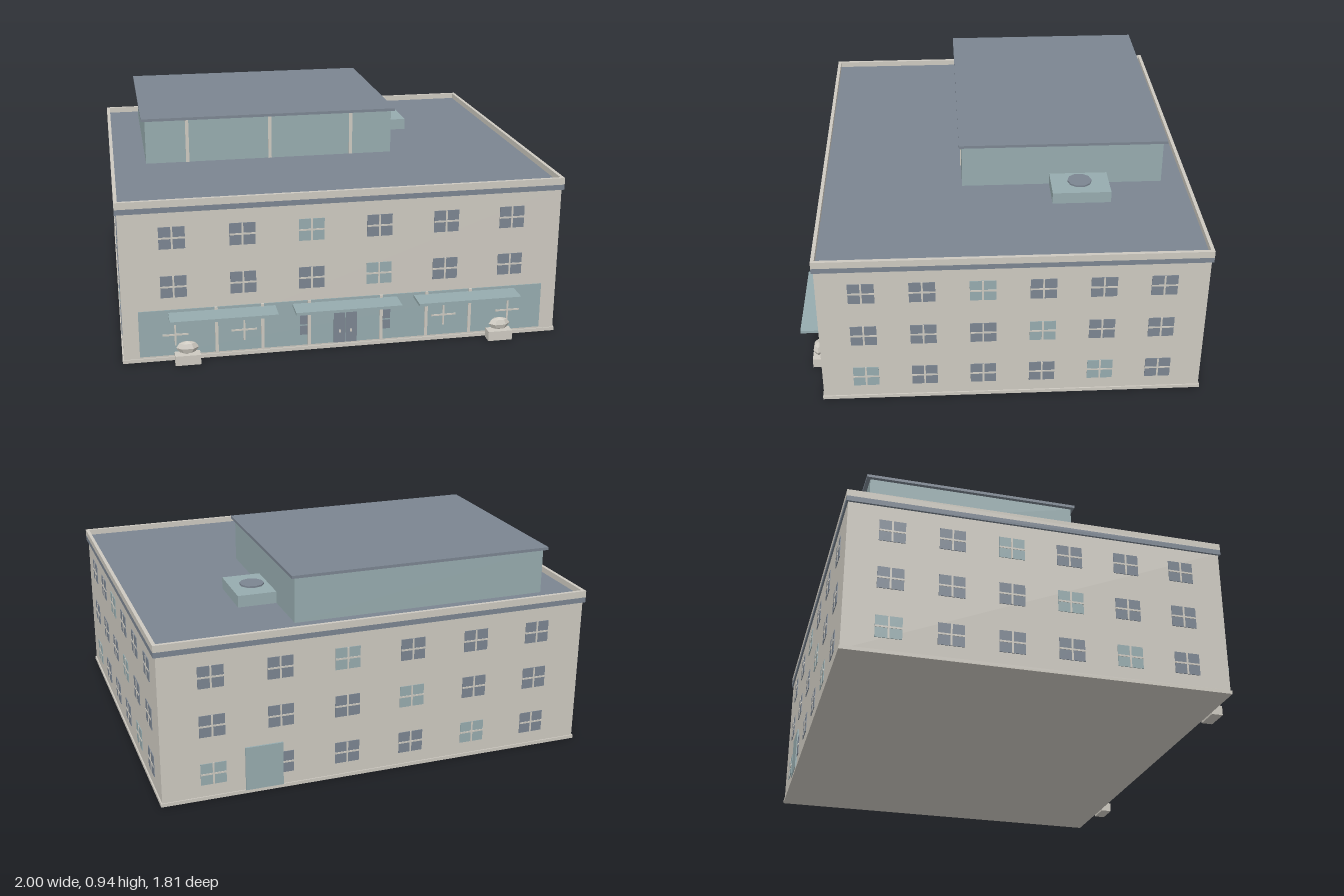
import * as THREE from 'three';

const mat = (name, color) => {
  const m = new THREE.MeshStandardMaterial({ color });
  m.name = name;
  return m;
};

export function createModel() {
  const model = new THREE.Group();
  model.name = 'officeBuilding';
  const stone = mat('stone', 0xcdc9c0);
  const slate = mat('slate', 0x7b8591);
  const glass = mat('glass', 0x96abae);

  const add = (parent, name, geo, material, x = 0, y = 0, z = 0) => {
    const m = new THREE.Mesh(geo, material);
    m.name = name;
    m.position.set(x, y, z);
    parent.add(m);
    return m;
  };
  // box given by its minimum and maximum corners
  const box = (parent, name, material, x0, x1, y0, y1, z0, z1) =>
    add(parent, name, new THREE.BoxGeometry(x1 - x0, y1 - y0, z1 - z0), material,
      (x0 + x1) / 2, (y0 + y1) / 2, (z0 + z1) / 2);

  const HX = 0.99, HZ = 0.847, CZ = -0.05; // half sizes and depth centre of the body

  // main block, plinth and cornice
  box(model, 'body', stone, -HX, HX, 0, 0.7, CZ - HZ, CZ + HZ);
  box(model, 'plinth', stone, -0.996, 0.996, 0, 0.016, CZ - 0.852, CZ + 0.852);
  box(model, 'corniceBand', slate, -1, 1, 0.69, 0.714, CZ - 0.855, CZ + 0.855);
  box(model, 'roofDeck', slate, -0.99, 0.99, 0.70, 0.718, CZ - 0.847, CZ + 0.847);

  // parapet ring
  const ring = new THREE.Shape([[-1, -0.855], [1, -0.855], [1, 0.855], [-1, 0.855]]
    .map(p => new THREE.Vector2(...p)));
  ring.holes.push(new THREE.Path([[-0.984, -0.839], [-0.984, 0.839], [0.984, 0.839], [0.984, -0.839]]
    .map(p => new THREE.Vector2(...p))));
  const parapet = add(model, 'parapet',
    new THREE.ExtrudeGeometry(ring, { depth: 0.031, bevelEnabled: false }), stone, 0, 0.714, CZ);
  parapet.rotation.x = -Math.PI / 2;

  // glazed rooftop storey
  box(model, 'penthouse', glass, -0.833, 0.356, 0.718, 0.925, -0.785, 0.15);
  box(model, 'penthouseRoof', slate, -0.85, 0.373, 0.925, 0.938, -0.802, 0.163);
  for (const x of [-0.636, -0.24, 0.156])
    box(model, 'penthouseMullion', stone, x - 0.008, x + 0.008, 0.718, 0.925, 0.15, 0.154);

  // rooftop air unit
  box(model, 'airUnit', glass, 0.33, 0.535, 0.718, 0.772, -0.525, -0.257);
  add(model, 'airUnitFan', new THREE.CylinderGeometry(0.056, 0.056, 0.01, 10), slate, 0.432, 0.775, -0.39);

  // one wall of windows: local +z points out of the wall
  const W = 0.114, H = 0.1, floors = [0.122, 0.348, 0.573];
  const cross = (parent, x, y, out) => {
    box(parent, 'windowBar', stone, x - 0.004, x + 0.004, y - H / 2, y + H / 2, 0, out);
    box(parent, 'windowBar', stone, x - W / 2, x + W / 2, y - 0.004, y + 0.004, 0, out);
  };
  const wall = (name, angle, half, dist, first, firstFloor) => {
    const g = new THREE.Group();
    g.name = name;
    g.rotation.y = angle;
    g.position.set(Math.sin(angle) * dist, 0, CZ + Math.cos(angle) * dist);
    for (let f = firstFloor; f < 3; f++)
      for (let i = 0; i < 6; i++) {
        const x = first * (1 - i / 2.5), y = floors[f];
        box(g, 'windowPane', (i + f) % 4 === 0 ? glass : slate,
          x - W / 2, x + W / 2, y - H / 2, y + H / 2, 0, 0.003);
        cross(g, x, y, 0.005);
      }
    model.add(g);
    return g;
  };
  const front = wall('frontWall', 0, HX, HZ, -0.762, 1);
  wall('leftWall', Math.PI / 2, HZ, HX, -0.653, 0);
  const back = wall('backWall', Math.PI, HX, HZ, -0.762, 0);
  wall('rightWall', -Math.PI / 2, HZ, HX, -0.653, 0);

  // service door at the back
  box(back, 'serviceDoor', glass, -0.62, -0.45, 0.016, 0.22, 0, 0.008);

  // shop front with window bars and mullions
  box(front, 'shopGlass', glass, -0.92, 0.92, 0.025, 0.24, 0, 0.004);
  for (const s of [-1, 1]) {
    for (const x of [0.762, 0.457]) cross(front, s * x, floors[0], 0.007);
    for (const y of [0.097, 0.147])
      add(front, 'sideLight', new THREE.BoxGeometry(0.034, 0.043, 0.006), slate, s * 0.19, y, 0.003);
    for (const x of [0.58, 0.375, 0.165])
      box(front, 'shopMullion', stone, s * x - 0.007, s * x + 0.007, 0.025, 0.24, 0, 0.008);
    // double entrance door
    box(front, 'doorLeaf', slate, s * 0.0275 - 0.0255, s * 0.0275 + 0.0255, 0.025, 0.19, 0, 0.007);
    box(front, 'doorHandle', stone, s * 0.025 - 0.004, s * 0.025 + 0.004, 0.075, 0.088, 0.006, 0.011);
  }

  // canopies over the shop front
  for (const [x0, x1] of [[-0.79, -0.317], [-0.24, 0.237], [0.315, 0.788]])
    box(model, 'canopy', glass, x0, x1, 0.215, 0.228, 0.79, 0.905);

  // pedestals with faceted stones
  const boulder = new THREE.SphereGeometry(1, 6, 4).toNonIndexed();
  boulder.scale(0.05, 0.03, 0.026);
  boulder.computeVertexNormals();
  for (const x of [-0.713, 0.713]) {
    box(model, 'pedestal', stone, x - 0.056, x + 0.056, 0, 0.045, 0.812, 0.864);
    add(model, 'carvedStone', boulder, stone, x, 0.075, 0.838);
  }
  return model;
}
